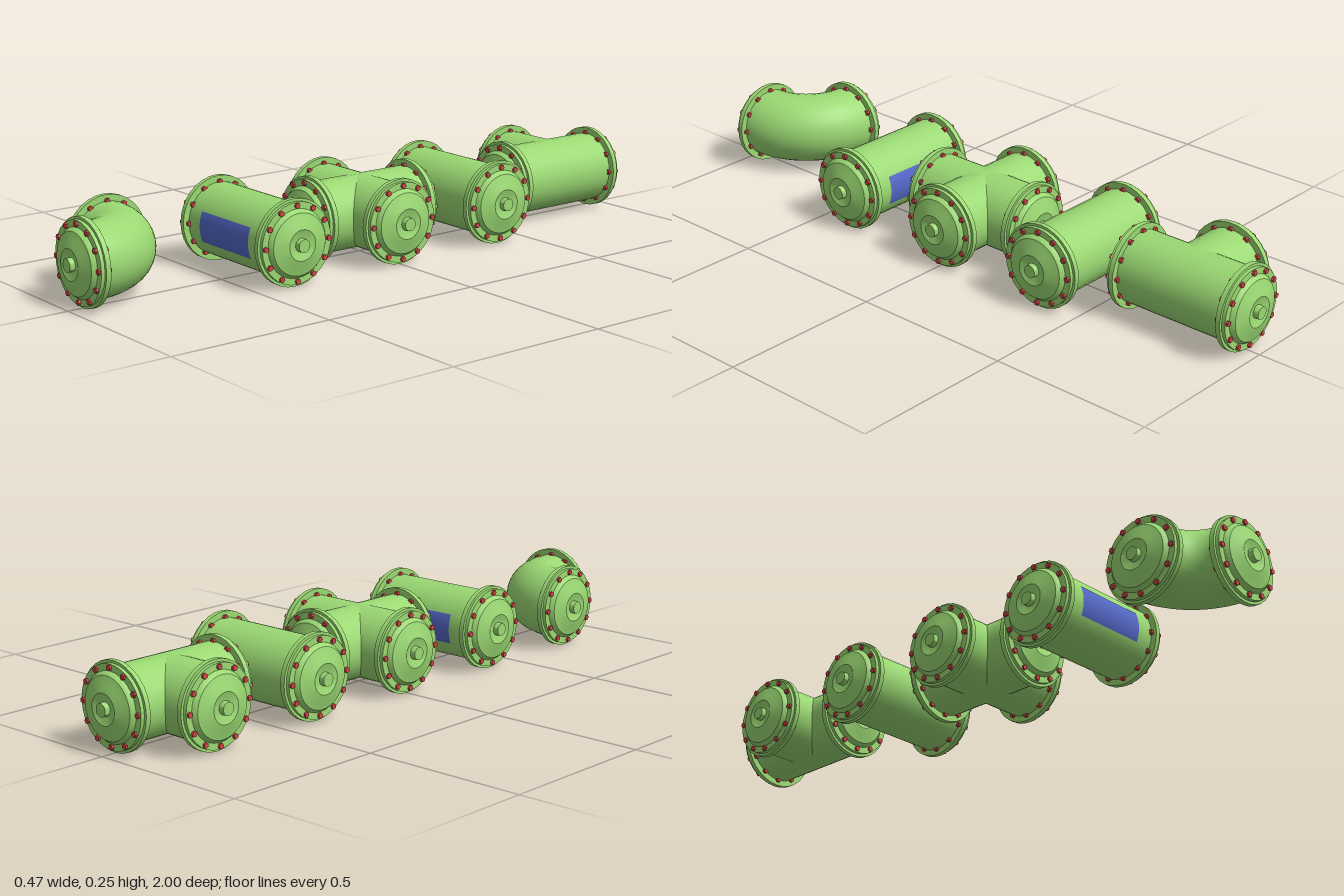
import * as THREE from 'three';
import { toCreasedNormals } from 'three/addons/utils/BufferGeometryUtils.js';

const AXIS_Y = 0.127;   // height of every pipe axis
const R = 0.108;        // pipe radius
const REACH = 0.176;    // fitting centre to flange
const SPACING = 0.3815; // distance between fittings

const X = new THREE.Vector3(1, 0, 0), Y = new THREE.Vector3(0, 1, 0), Z = new THREE.Vector3(0, 0, 1);
const NX = X.clone().negate(), NZ = Z.clone().negate();

export function createModel() {
  const green = new THREE.MeshStandardMaterial({ color: 0x9bd973, side: THREE.DoubleSide });
  const red = new THREE.MeshStandardMaterial({ color: 0xcf4444 });
  const blue = new THREE.MeshStandardMaterial({ color: 0x5468c8, side: THREE.DoubleSide });

  const mesh = (name, geometry, material) => {
    const m = new THREE.Mesh(geometry, material);
    m.name = name;
    return m;
  };

  // shared end parts, turned around +y (distance from the fitting centre)
  const turned = (points) => toCreasedNormals(
    new THREE.LatheGeometry(points.map(([r, y]) => new THREE.Vector2(r, y)), 32), 0.45);
  const flangeGeo = turned([[0.1, 0.175], [0.127, 0.175], [0.127, 0.19], [0.119, 0.19], [0.119, 0.201], [0.098, 0.201]]);
  const capGeo = turned([[0.1, 0.2], [0.099, 0.203], [0.09, 0.214], [0.08, 0.2165], [0.062, 0.223],
    [0.045, 0.228], [0.034, 0.224], [0.02, 0.221], [0.019, 0.237], [0, 0.237]]);
  const boltGeo = new THREE.CylinderGeometry(0.0085, 0.0085, 0.041, 6).toNonIndexed();
  boltGeo.computeVertexNormals();

  // bolted flange and domed cover facing a direction
  function cappedEnd(dir) {
    const end = new THREE.Group();
    end.name = 'cappedEnd';
    end.add(mesh('flange', flangeGeo, green), mesh('cover', capGeo, green));
    for (let i = 0; i < 12; i++) {
      const a = i * Math.PI / 6;
      const bolt = mesh('bolt', boltGeo, red);
      bolt.position.set(Math.cos(a) * 0.109, 0.187, Math.sin(a) * 0.109);
      bolt.rotation.y = -a;
      end.add(bolt);
    }
    end.quaternion.setFromUnitVectors(Y, dir);
    return end;
  }

  // straight pipe from a to b along a direction
  function pipe(dir, a, b) {
    const geo = new THREE.CylinderGeometry(R, R, b - a, 32, 1, true);
    geo.translate(0, (a + b) / 2, 0);
    const p = mesh('pipe', geo, green);
    p.quaternion.setFromUnitVectors(Y, dir);
    return p;
  }

  const model = new THREE.Group();
  model.name = 'pipeFittings';
  function fitting(name, z, ends, bodies) {
    const g = new THREE.Group();
    g.name = name;
    g.position.set(0, AXIS_Y, z);
    g.add(...bodies, ...ends.map(cappedEnd));
    model.add(g);
  }

  // quarter bend
  const bendGeo = new THREE.TorusGeometry(REACH, R, 32, 20, Math.PI / 2);
  bendGeo.rotateX(-Math.PI / 2).translate(-REACH, 0, REACH);
  fitting('elbow', 2 * SPACING, [NX, Z], [mesh('bend', bendGeo, green)]);

  // straight pipe with a curved window on the front and back
  const windows = [0, Math.PI].map((angle) => {
    const geo = new THREE.CylinderGeometry(R + 0.0008, R + 0.0008, 0.238, 10, 1, true, angle - 0.43, 0.86);
    return mesh('window', geo.rotateZ(Math.PI / 2), blue);
  });
  fitting('windowPipe', SPACING, [X, NX], [pipe(X, -REACH, REACH), ...windows]);

  // four-way cross
  fitting('cross', 0, [X, NX, Z, NZ], [pipe(X, -REACH, REACH), pipe(Z, -REACH, REACH)]);

  // plain straight pipe
  fitting('straightPipe', -SPACING, [X, NX], [pipe(X, -REACH, REACH)]);

  // three-way tee
  fitting('tee', -2 * SPACING, [NX, Z, NZ], [pipe(Z, -REACH, REACH), pipe(NX, 0, REACH)]);

  return model;
}
